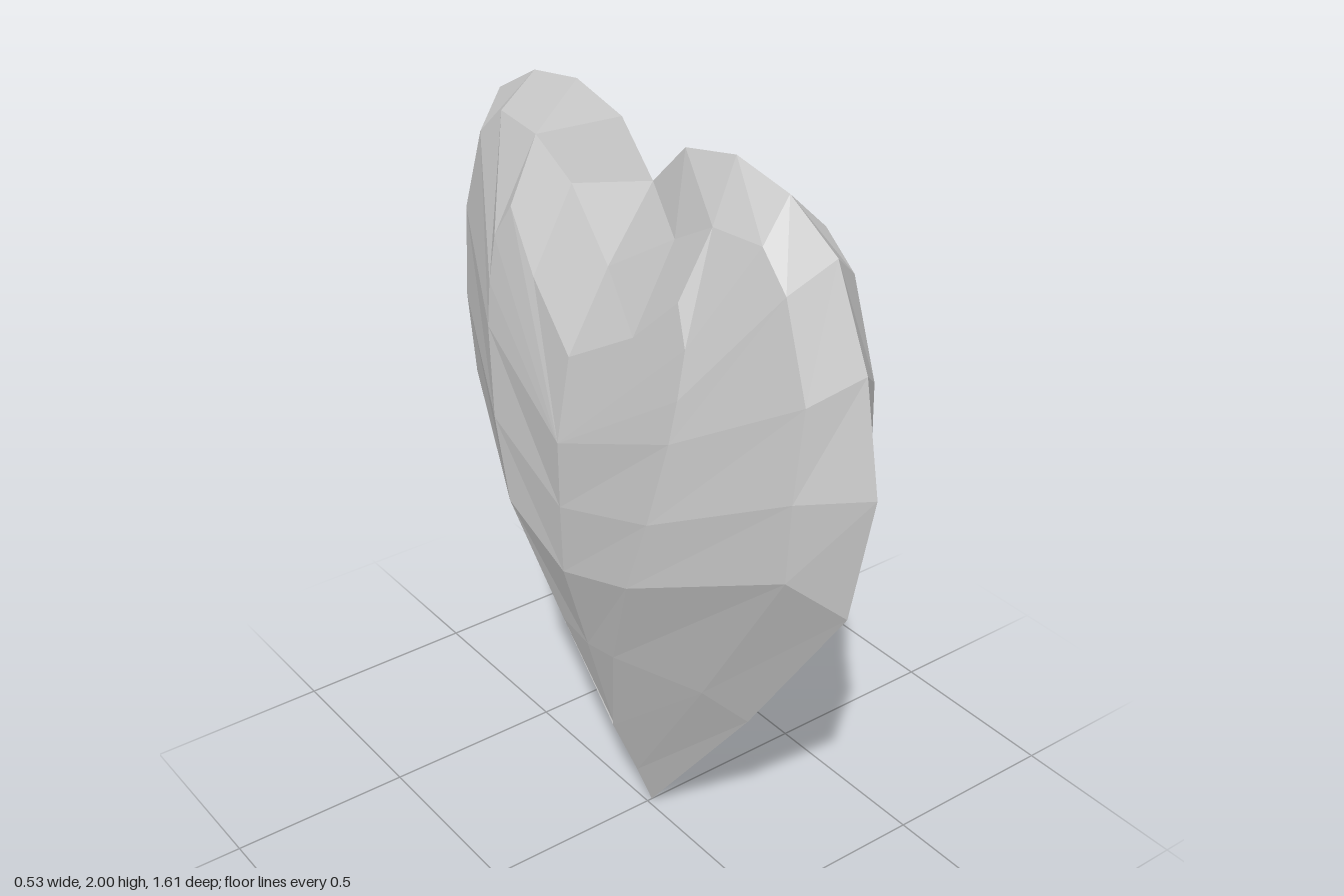
import * as THREE from 'three';

// Each loop runs from the top notch, over one lobe, down to the tip: [z, y, bulge]
const rim = [
  [0, 1.84, 0], [0.12, 1.96, 0], [0.3, 2, 0], [0.48, 1.97, 0], [0.64, 1.88, 0],
  [0.75, 1.65, 0], [0.805, 1.37, 0], [0.735, 1.02, 0], [0.4, 0.52, 0], [0, 0, 0],
];
const bevel = [
  [0, 1.66, 0.13], [0.2, 1.79, 0.09], [0.34, 1.87, 0.095], [0.5, 1.88, 0.088], [0.59, 1.8, 0.095],
  [0.67, 1.57, 0.098], [0.66, 1.33, 0.115], [0.64, 1.11, 0.108], [0.32, 0.6, 0.085], [0, 0.13, 0.05],
];
const face = [
  [0, 1.46, 0.205], [0.2, 1.58, 0.172], [0.33, 1.71, 0.15], [0.38, 1.62, 0.165], [0.38, 1.5, 0.182],
  [0.37, 1.39, 0.195], [0.32, 1.16, 0.215], [0.25, 0.95, 0.222], [0.11, 0.64, 0.172], [0, 0.32, 0.108],
];
const top = [0, 1.24, 0.245];
const spine = [
  top, top, top, top, top, top,
  [0, 1.06, 0.243], [0, 0.87, 0.238], [0, 0.62, 0.178], [0, 0.32, 0.108],
];
const loops = [rim, bevel, face, spine];
const fullness = [1, 1, 1.2, 1.16]; // the -x side is a little fuller
const seamX = 0.015;

// One quarter of the gem: side picks +x or -x, lobe picks +z or -z
function addQuarter(out, side, lobe) {
  const point = (j, i) => {
    const [z, y, bulge] = loops[j][i];
    const k = side < 0 ? fullness[j] : 1;
    return new THREE.Vector3(seamX + side * bulge * k, y, lobe * z);
  };
  const tri = (a, b, c) => {
    if (new THREE.Triangle(a, b, c).getArea() < 1e-6) return;
    const order = side * lobe > 0 ? [a, b, c] : [a, c, b];
    order.forEach((p) => out.push(p));
  };
  for (let j = 0; j < loops.length - 1; j++) {
    for (let i = 0; i < rim.length - 1; i++) {
      const a = point(j, i), b = point(j, i + 1);
      const c = point(j + 1, i + 1), d = point(j + 1, i);
      tri(a, b, c);
      tri(a, c, d);
    }
  }
}

export function createModel() {
  const group = new THREE.Group();
  group.name = 'heartGem';
  const material = new THREE.MeshStandardMaterial({ color: 0xcccccc, flatShading: true });

  // Two faceted halves that meet at the rim
  for (const [side, name] of [[1, 'leftHalf'], [-1, 'rightHalf']]) {
    const points = [];
    addQuarter(points, side, 1);
    addQuarter(points, side, -1);
    const geometry = new THREE.BufferGeometry().setFromPoints(points);
    geometry.computeVertexNormals();
    const half = new THREE.Mesh(geometry, material);
    half.name = name;
    group.add(half);
  }
  return group;
}
